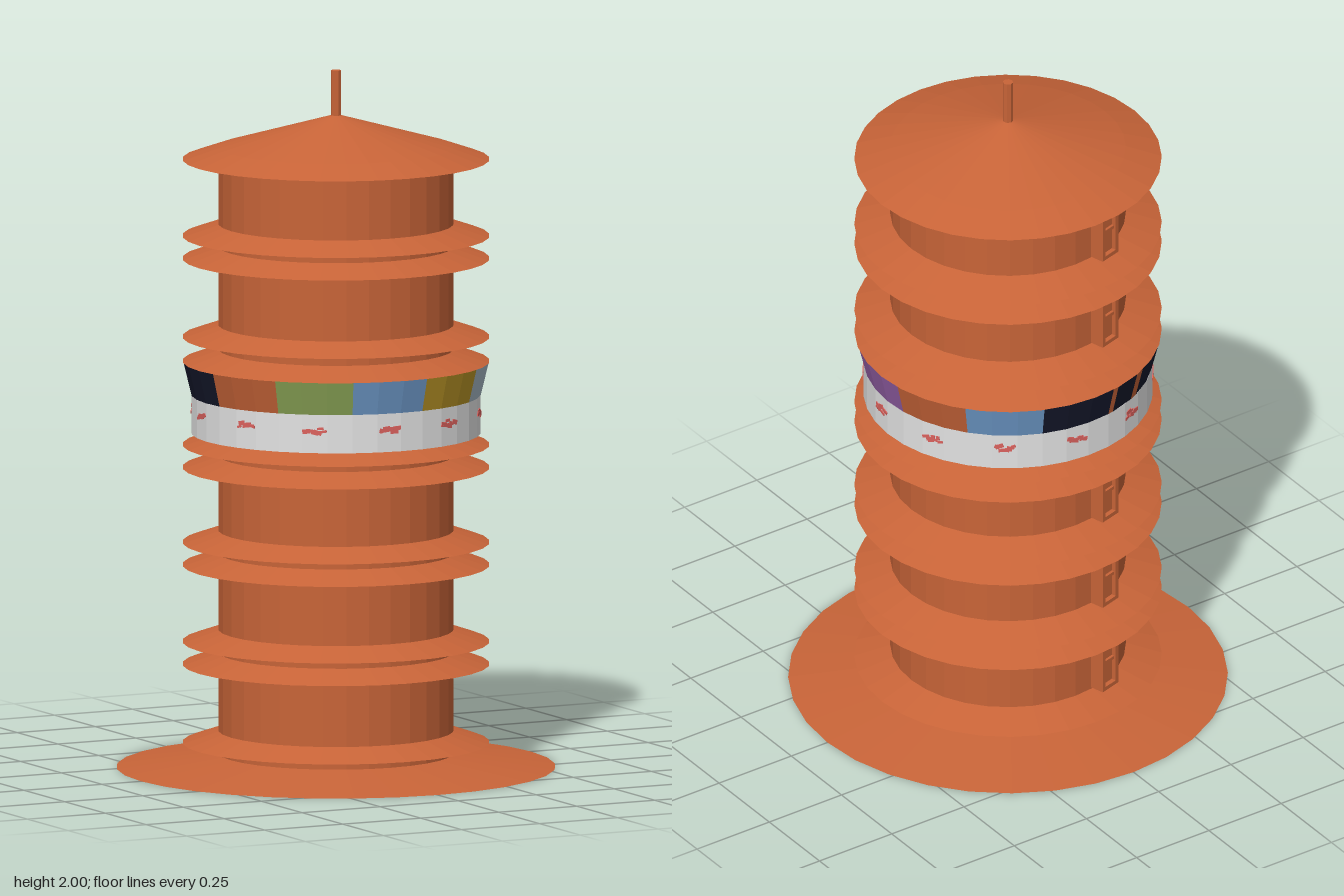
import * as THREE from 'three';

const mat = (name, color) => {
  const m = new THREE.MeshStandardMaterial({ color });
  m.name = name;
  return m;
};
const DEG = Math.PI / 180;
const BODY = 0.335, EAVE = 0.437, SIDES = 32;

export function createModel() {
  const root = new THREE.Group();
  root.name = 'tower';

  const rust = mat('rust', 0xc86438);
  const white = mat('white', 0xe2e2e2);
  const red = mat('red', 0xdc625e);
  const blue = mat('blue', 0x6f9bcb);
  const green = mat('green', 0x8aa456);
  const mustard = mat('mustard', 0xc09a28);
  const greyBlue = mat('greyBlue', 0xa9bcc8);
  const purple = mat('purple', 0x9560a8);
  const navy = mat('navy', 0x15182b);

  // Faceted geometry with one normal per face
  const flat = (geometry) => {
    const g = geometry.toNonIndexed();
    g.computeVertexNormals();
    return g;
  };
  const add = (name, geometry, material, parent = root) => {
    const mesh = new THREE.Mesh(geometry, material);
    mesh.name = name;
    parent.add(mesh);
    return mesh;
  };
  // Frustum standing on y0
  const frustum = (name, rTop, rBottom, y0, y1, material, sides = SIDES) => {
    const g = flat(new THREE.CylinderGeometry(rTop, rBottom, y1 - y0, sides));
    return add(name, g.translate(0, (y0 + y1) / 2, 0), material);
  };

  // Foot, shaft, roof and spire
  frustum('foot', BODY, 0.625, 0, 0.04, rust);
  frustum('shaft', BODY, BODY, 0.02, 1.77, rust);
  add('roof', flat(new THREE.ConeGeometry(BODY, 0.095, SIDES)).translate(0, 1.8275, 0), rust);
  frustum('spire', 0.015, 0.015, 1.85, 2, rust, 8);

  // Sloping eaves around the shaft
  for (const y of [0.07, 0.295, 0.36, 0.58, 0.645, 0.86, 0.925, 1.165, 1.235, 1.46, 1.525, 1.745]) {
    frustum('eave', BODY, EAVE, y, y + 0.035, rust);
  }

  // White gallery wall, its facets lined up with the panels above
  frustum('galleryWall', 0.412, 0.412, 0.96, 1.07, white, 36).rotation.y = 9 * DEG;

  // Flared ring of coloured panels: start angle, end angle, colour
  const panels = [
    [-81, -51, rust], [-51, -21, green], [-21, 9, blue], [9, 39, mustard],
    [39, 69, greyBlue], [69, 99, purple], [99, 129, rust], [129, 159, blue],
    [159, 189, navy], [189, 191.5, rust], [191.5, 203, navy], [203, 207, rust], [207, 279, navy],
  ];
  for (const [a, b, material] of panels) {
    const steps = Math.max(1, Math.round((b - a) / 10));
    const g = new THREE.CylinderGeometry(0.435, 0.412, 0.095, steps, 1, true, a * DEG, (b - a) * DEG);
    add('galleryPanel', flat(g).translate(0, 1.1175, 0), material);
  }

  // Ragged red marks, one on every third facet of the gallery wall
  let seed = 7;
  const rand = () => (seed = (seed * 16807) % 2147483647) / 2147483647;
  for (let k = 0; k < 12; k++) {
    const mark = new THREE.Group();
    mark.name = 'redMark';
    mark.rotation.y = (-6 + 30 * k) * DEG;
    for (let i = 0; i < 7; i++) {
      const w = 0.01 + rand() * 0.015, h = 0.006 + rand() * 0.008;
      const patch = add('markPatch', new THREE.BoxGeometry(w, h, 0.003), red, mark);
      patch.position.set(-0.024 + i * 0.008, 1.025 + (rand() - 0.5) * 0.018, 0.411 + i * 0.0001);
      patch.rotation.z = (rand() - 0.5) * 0.8;
    }
    root.add(mark);
  }

  // Framed windows up the back of the shaft
  for (const y of [0.1875, 0.4725, 0.76, 1.35, 1.64]) {
    const win = new THREE.Group();
    win.name = 'window';
    win.rotation.y = 196 * DEG;
    win.position.y = y;
    const bar = (name, w, h, x, yy, front) => {
      const depth = front - 0.315;
      add(name, new THREE.BoxGeometry(w, h, depth), rust, win).position.set(x, yy, 0.315 + depth / 2);
    };
    bar('windowPanel', 0.06, 0.145, 0, 0, 0.362);
    for (const s of [-1, 1]) {
      bar('windowJamb', 0.012, 0.155, s * 0.029, 0, 0.376);
      bar('windowRail', 0.046, 0.012, 0, s * 0.0715, 0.376);
    }
    bar('windowCrossbar', 0.046, 0.01, 0, 0.01, 0.37);
    root.add(win);
  }

  return root;
}
